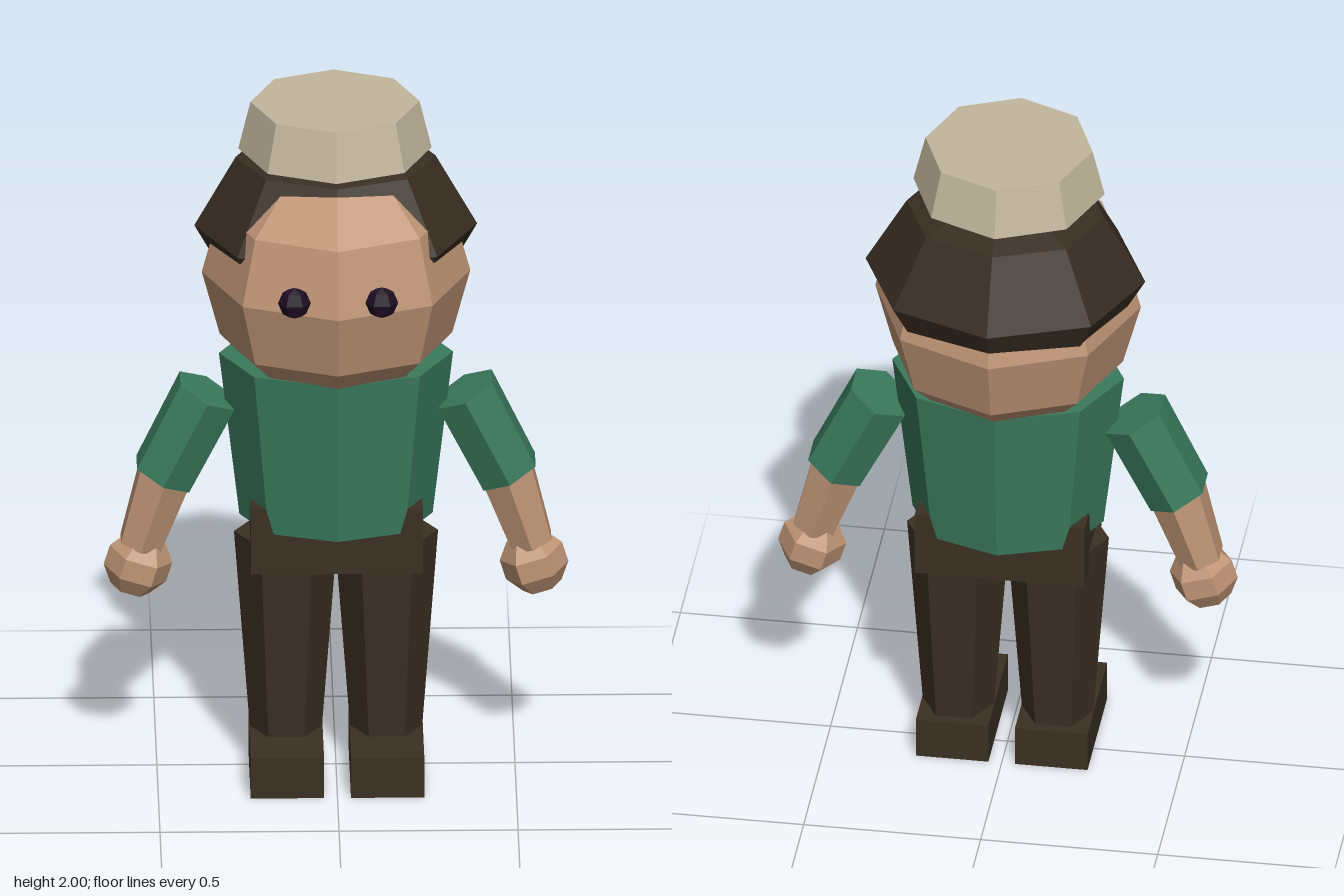
import * as THREE from 'three';

const material = (name, color) => {
  const m = new THREE.MeshStandardMaterial({ color, flatShading: true });
  m.name = name;
  return m;
};

export function createModel() {
  const model = new THREE.Group();
  model.name = 'figure';

  const skin = material('skin', 0xbf9576);
  const shirt = material('green shirt', 0x3a7a5d);
  const cloth = material('dark brown cloth', 0x3a2f23);
  const hairColor = material('dark brown hair', 0x382d22);
  const hatColor = material('beige hat', 0xc2b79d);
  const eyeColor = material('dark eyes', 0x1f0f24);

  const add = (name, geometry, mat, x, y, z, parent = model) => {
    const mesh = new THREE.Mesh(geometry, mat);
    mesh.name = name;
    mesh.position.set(x, y, z);
    parent.add(mesh);
    return mesh;
  };

  // Tapered limb between two points in the front plane
  const limb = (name, mat, from, to, r1, r2, z) => {
    const a = new THREE.Vector2(...from), b = new THREE.Vector2(...to);
    const d = b.clone().sub(a);
    const mesh = add(name, new THREE.CylinderGeometry(r1, r2, d.length(), 6), mat,
      (a.x + b.x) / 2, (a.y + b.y) / 2, z);
    mesh.rotation.z = Math.atan2(d.x, -d.y);
    mesh.scale.x = 0.9;
    return mesh;
  };

  // Torso and pelvis
  add('torso', new THREE.CylinderGeometry(0.327, 0.27, 0.485, 8), shirt, 0, 1.0025, 0.01)
    .scale.z = 0.8;
  add('pelvis', new THREE.BoxGeometry(0.48, 0.195, 0.315), cloth, 0, 0.737, 0.01);

  // Head, hair and hat
  add('head', new THREE.SphereGeometry(0.375, 8, 6), skin, 0, 1.49, 0.01);
  add('hair', new THREE.SphereGeometry(1, 8, 4), hairColor, 0, 1.61, -0.04)
    .scale.set(0.395, 0.29, 0.35);
  add('hat', new THREE.CylinderGeometry(0.236, 0.27, 0.14, 8), hatColor, -0.003, 1.93, 0.008);

  for (const [side, s] of [['left', 1], ['right', -1]]) {
    // Eye
    add(`${side}Eye`, new THREE.SphereGeometry(0.046, 6, 4), eyeColor, s * 0.122, 1.53, 0.347)
      .scale.z = 0.82;

    // Arm: sleeve, forearm and hand
    limb(`${side}Sleeve`, shirt, [s * 0.36, 1.13], [s * 0.484, 0.88], 0.108, 0.104, 0.008);
    limb(`${side}Forearm`, skin, [s * 0.478, 0.885], [s * 0.547, 0.67], 0.093, 0.073, 0.008);
    add(`${side}Hand`, new THREE.SphereGeometry(0.096, 6, 5), skin, s * 0.553, 0.612, 0.008)
      .rotation.z = s * 0.3;

    // Leg and shoe
    const leg = new THREE.CylinderGeometry(0.145, 0.1, 0.6, 6);
    leg.rotateY(Math.PI / 6);
    add(`${side}Leg`, leg, cloth, s * 0.14, 0.407, 0.008);
    add(`${side}Shoe`, new THREE.BoxGeometry(0.205, 0.12, 0.364), cloth, s * 0.14, 0.06, 0.072);
  }

  return model;
}
